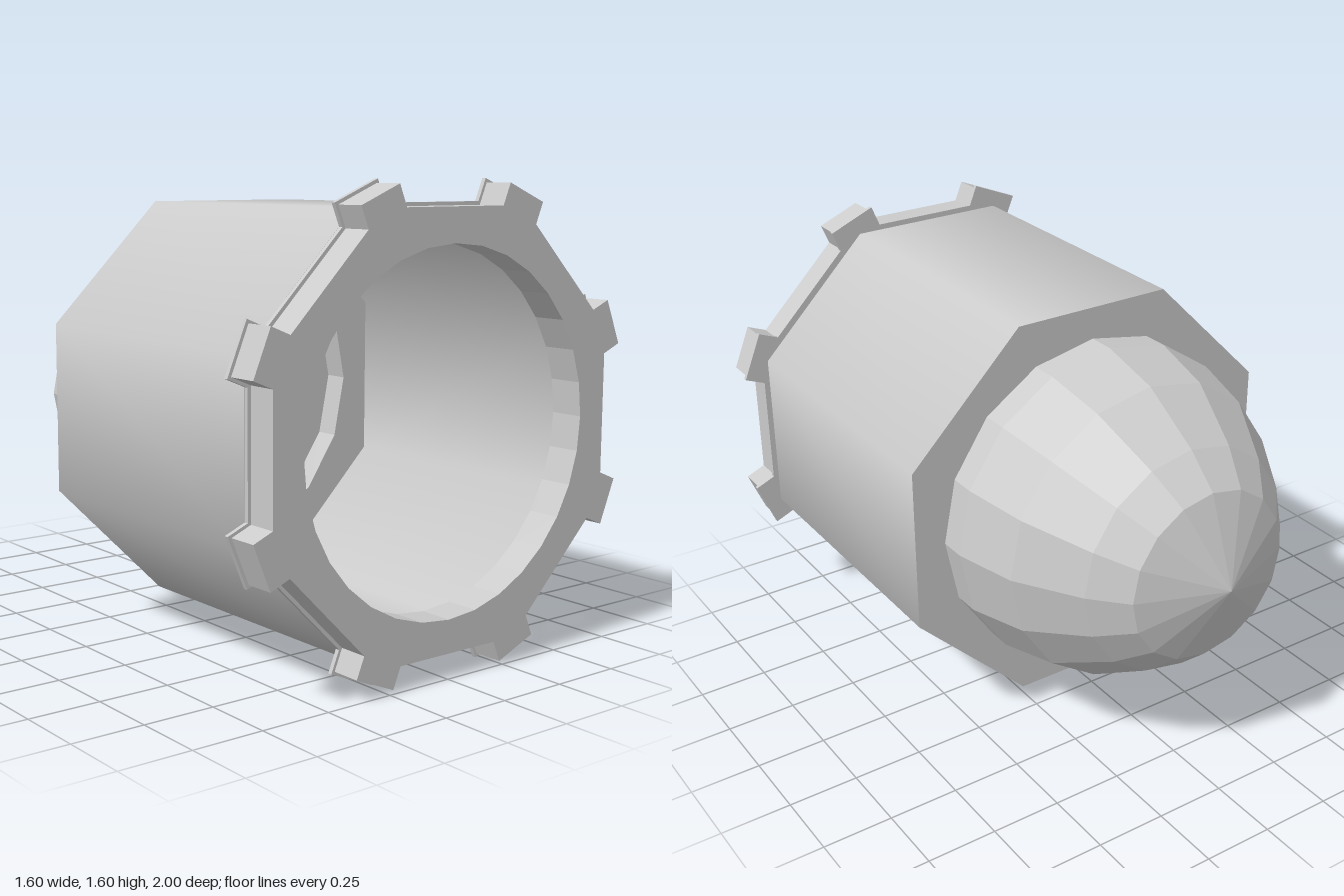
import * as THREE from 'three';

const flat = () => new THREE.MeshStandardMaterial({ color: 0xcccccc, flatShading: true, side: THREE.DoubleSide });
const smooth = () => new THREE.MeshStandardMaterial({ color: 0xcccccc, side: THREE.DoubleSide });

// Regular polygon points; used for outlines and holes
function polygon(radius, sides, offset = 0) {
  return Array.from({ length: sides }, (_, i) => {
    const a = offset + (i / sides) * Math.PI * 2;
    return new THREE.Vector2(Math.cos(a) * radius, Math.sin(a) * radius);
  });
}

// Octagon with a square lug on every corner and a round bore
function lugShape(apothem, halfWidth, reach) {
  const corner = apothem / Math.cos(Math.PI / 8);
  const root = corner - halfWidth * Math.tan(Math.PI / 8);
  const points = [];
  for (let i = 0; i < 8; i++) {
    const a = (i + 0.5) * Math.PI / 4;
    for (const [r, t] of [[root, -halfWidth], [reach, -halfWidth], [reach, halfWidth], [root, halfWidth]]) {
      points.push(new THREE.Vector2(r * Math.cos(a) - t * Math.sin(a), r * Math.sin(a) + t * Math.cos(a)));
    }
  }
  const shape = new THREE.Shape(points);
  shape.holes.push(new THREE.Path(polygon(0.6, 32)));
  return shape;
}

export function createModel() {
  const model = new THREE.Group();
  const add = (name, geometry, material, z = 0) => {
    const mesh = new THREE.Mesh(geometry, material);
    mesh.name = name;
    mesh.position.set(0, 0.8, z);
    model.add(mesh);
  };
  const slab = (shape, depth) => new THREE.ExtrudeGeometry(shape, { depth, bevelEnabled: false });

  // Front locking ring: thick face plus a slightly larger rim behind it
  add('lockingRing', slab(lugShape(0.713, 0.082, 0.815), 0.105), flat(), 0.895);
  add('lockingRingRim', slab(lugShape(0.725, 0.092, 0.826), 0.015), flat(), 0.88);

  // Eight-sided open body with smooth shading
  const bodyRadius = 0.7125 / Math.cos(Math.PI / 8);
  const body = new THREE.CylinderGeometry(bodyRadius, bodyRadius, 1.09, 8, 1, true);
  body.rotateY(Math.PI / 8).rotateX(-Math.PI / 2);
  add('body', body, smooth(), 0.315);

  // Back plate around the dome
  const plate = new THREE.Shape(polygon(bodyRadius, 8, Math.PI / 8));
  plate.holes.push(new THREE.Path(polygon(0.6, 16)));
  add('backPlate', new THREE.ShapeGeometry(plate), flat(), -0.23);

  // Faceted dome with a pointed tip, and the floor of its recess
  const profile = [[0.6, 0.23], [0.6, 0.325], [0.545, 0.55], [0.41, 0.77], [0.305, 0.885], [0, 1]];
  const dome = new THREE.LatheGeometry(profile.map(([r, y]) => new THREE.Vector2(r, y)), 16);
  dome.rotateX(-Math.PI / 2);
  add('dome', dome, flat());
  add('recessFloor', new THREE.CircleGeometry(0.6, 16), flat(), -0.325);

  return model;
}
